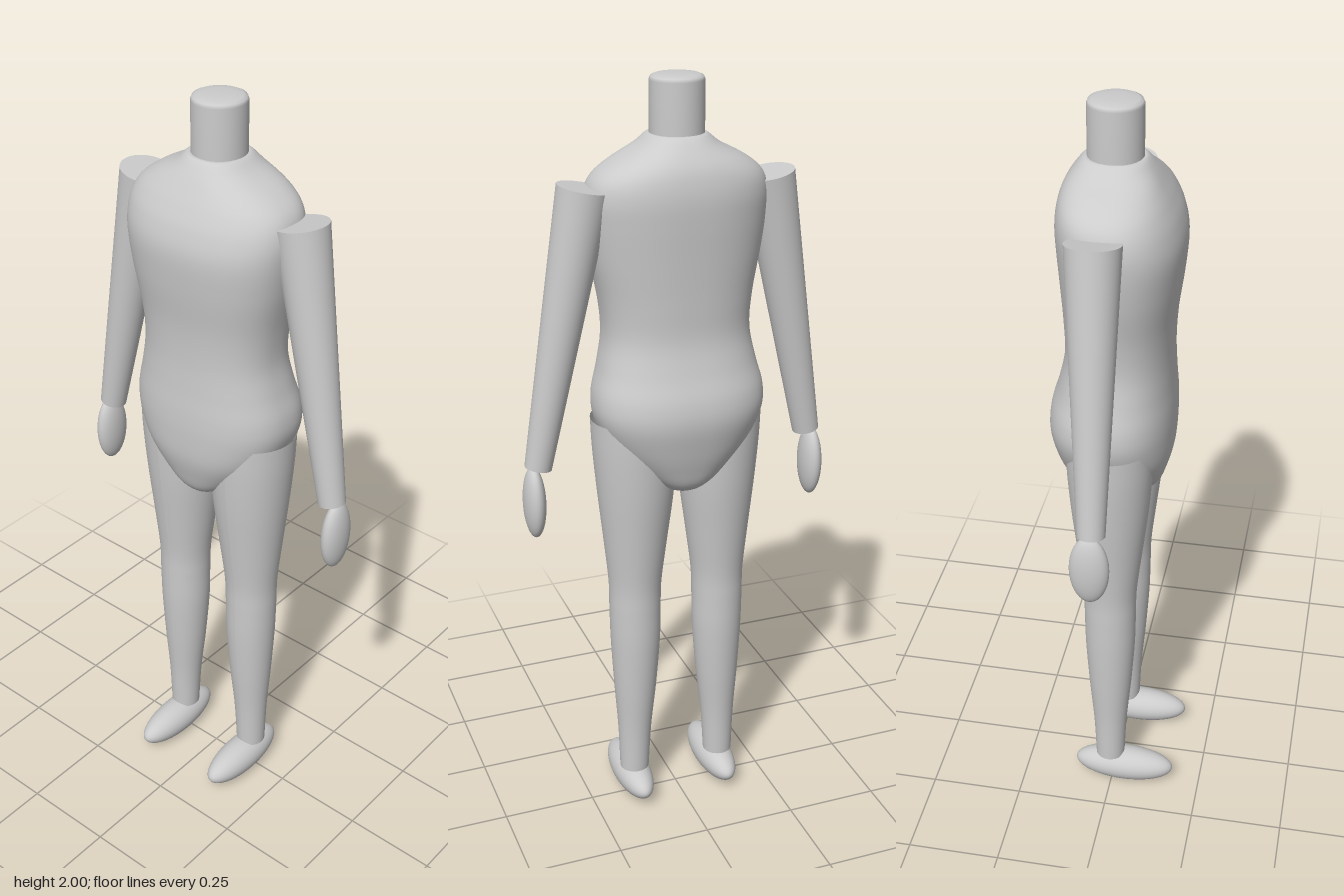
import * as THREE from 'three';

const material = new THREE.MeshStandardMaterial({ color: 0xcccccc, side: THREE.DoubleSide });

function addMesh(parent, name, geometry, x = 0, y = 0, z = 0) {
  const mesh = new THREE.Mesh(geometry, material);
  mesh.name = name;
  mesh.position.set(x, y, z);
  parent.add(mesh);
  return mesh;
}

// Smooth loft of rounded cross-sections; each row is [y, half width, front z, back z]
function loftTorso(rows, steps = 96, sides = 64, power = 2.35) {
  const front = new THREE.CatmullRomCurve3(rows.map(([y, w, f]) => new THREE.Vector3(w, y, f)), false, 'catmullrom');
  const back = new THREE.CatmullRomCurve3(rows.map(([y, w, , b]) => new THREE.Vector3(w, y, b)), false, 'catmullrom');
  const bend = (v) => Math.sign(v) * Math.abs(v) ** (2 / power);
  const positions = [];
  const index = [];
  for (let i = 0; i <= steps; i++) {
    const f = front.getPoint(i / steps);
    const b = back.getPoint(i / steps);
    const middle = (f.z + b.z) / 2;
    const depth = (f.z - b.z) / 2;
    for (let j = 0; j < sides; j++) {
      const a = (j / sides) * Math.PI * 2;
      positions.push(f.x * bend(Math.sin(a)), f.y, middle + depth * bend(Math.cos(a)));
      if (i === steps) continue;
      const p = i * sides + j;
      const q = i * sides + ((j + 1) % sides);
      index.push(p, q, p + sides, q, q + sides, p + sides);
    }
  }
  const geometry = new THREE.BufferGeometry();
  geometry.setAttribute('position', new THREE.Float32BufferAttribute(positions, 3));
  geometry.setIndex(index);
  geometry.computeVertexNormals();
  return geometry;
}

// Round limb whose axis leans; each row is [y, centre x, radius]
function loftLeg(rows, steps = 48) {
  const curve = new THREE.CatmullRomCurve3(rows.map(([y, x, r]) => new THREE.Vector3(x, y, r)), false, 'catmullrom');
  const geometry = new THREE.CylinderGeometry(1, 1, 1, 40, steps, true);
  const p = geometry.attributes.position;
  for (let i = 0; i < p.count; i++) {
    const s = curve.getPoint(Math.min(1, Math.max(0, p.getY(i) + 0.5)));
    p.setXYZ(i, s.x + p.getX(i) * s.z, s.y, p.getZ(i) * s.z);
  }
  geometry.computeVertexNormals();
  return geometry;
}

function ellipsoid(rx, ry, rz) {
  return new THREE.SphereGeometry(1, 40, 28).scale(rx, ry, rz);
}

export function createModel() {
  const model = new THREE.Group();
  model.name = 'mannequin';

  // Torso from the crotch up to the base of the neck
  addMesh(model, 'torso', loftTorso([
    [0.947, 0.002, 0.002, -0.02],
    [0.955, 0.04, 0.07, -0.085],
    [0.98, 0.085, 0.105, -0.12],
    [1.03, 0.142, 0.125, -0.14],
    [1.09, 0.19, 0.14, -0.157],
    [1.16, 0.219, 0.144, -0.171],
    [1.22, 0.221, 0.143, -0.167],
    [1.29, 0.204, 0.138, -0.147],
    [1.37, 0.19, 0.135, -0.131],
    [1.46, 0.196, 0.139, -0.132],
    [1.57, 0.217, 0.153, -0.138],
    [1.66, 0.229, 0.159, -0.144],
    [1.72, 0.229, 0.147, -0.146],
    [1.765, 0.212, 0.127, -0.141],
    [1.8, 0.17, 0.107, -0.13],
    [1.835, 0.105, 0.085, -0.108],
    [1.86, 0.073, 0.065, -0.086],
    [1.862, 0.06, 0.05, -0.07],
  ]));

  // Neck stump with a softened rim
  const neckProfile = [[0.067, 1.83], [0.067, 1.985], [0.064, 1.993], [0.055, 1.997], [0.03, 2], [0, 2]];
  addMesh(model, 'neck', new THREE.LatheGeometry(neckProfile.map(([r, y]) => new THREE.Vector2(r, y)), 48), 0, 0, -0.011);

  for (const side of [1, -1]) {
    const label = side > 0 ? 'left' : 'right';

    // Straight tapered arm, leaning outwards
    const shoulder = new THREE.Vector3(side * 0.236, 1.748, -0.018);
    const wrist = new THREE.Vector3(side * 0.37, 1.043, -0.003);
    const axis = shoulder.clone().sub(wrist);
    const arm = addMesh(model, label + 'Arm', new THREE.CylinderGeometry(0.067, 0.035, axis.length(), 40));
    arm.position.copy(shoulder).add(wrist).multiplyScalar(0.5);
    arm.quaternion.setFromUnitVectors(new THREE.Vector3(0, 1, 0), axis.normalize());

    addMesh(model, label + 'Hand', ellipsoid(0.028, 0.097, 0.05), side * 0.384, 0.95, -0.006);

    // Leg with a slight knee and calf
    addMesh(model, label + 'Leg', loftLeg([
      [0.09, side * 0.125, 0.04],
      [0.22, side * 0.123, 0.046],
      [0.36, side * 0.12, 0.058],
      [0.5, side * 0.118, 0.067],
      [0.6, side * 0.118, 0.069],
      [0.68, side * 0.117, 0.071],
      [0.8, side * 0.115, 0.084],
      [0.94, side * 0.113, 0.1],
      [1.06, side * 0.114, 0.109],
      [1.15, side * 0.115, 0.112],
    ]), 0, 0, -0.006);

    addMesh(model, label + 'Foot', ellipsoid(0.05, 0.049, 0.14), side * 0.124, 0.05, 0.034);
  }
  return model;
}
